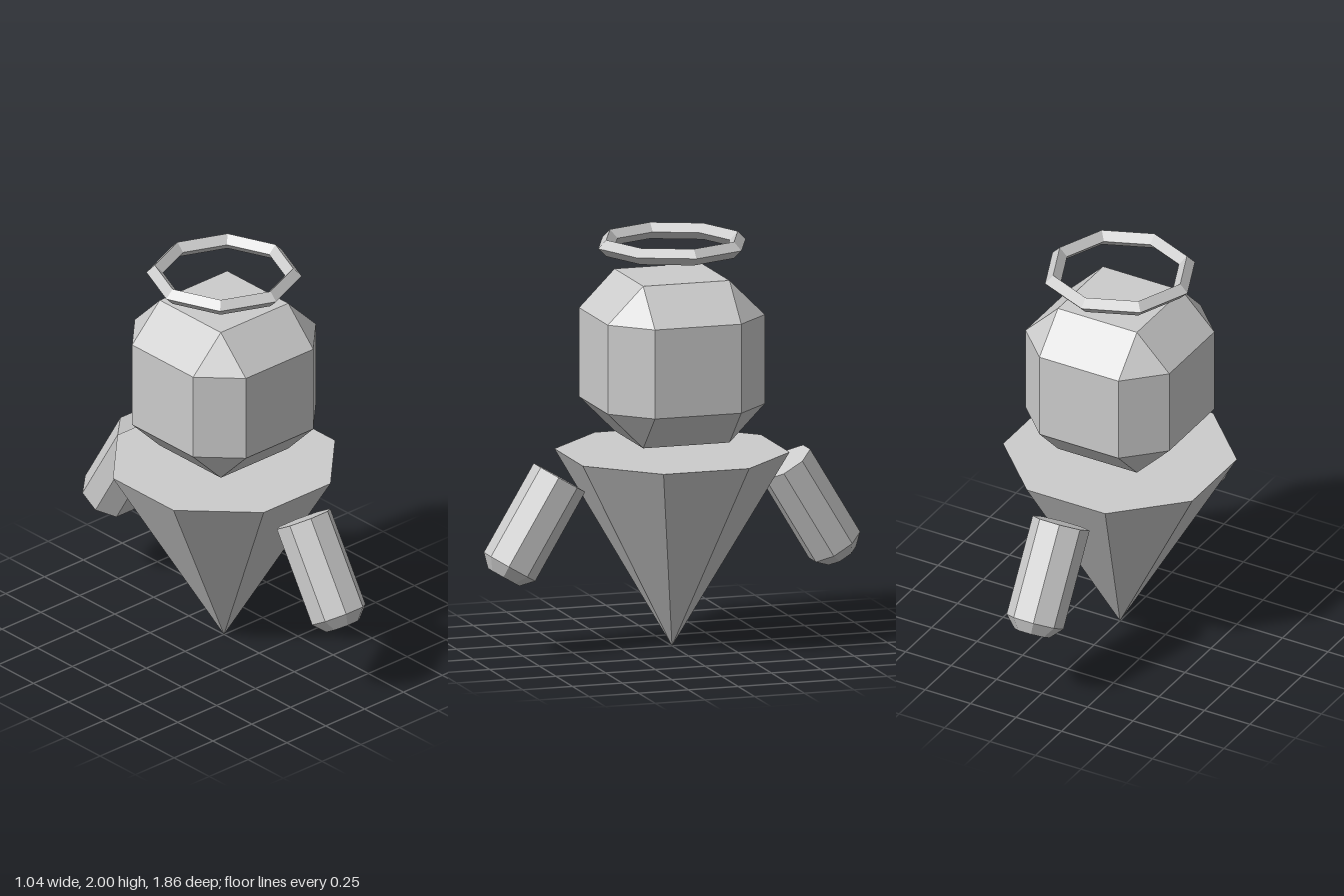
import * as THREE from 'three';
import { ConvexGeometry } from 'three/addons/geometries/ConvexGeometry.js';

const material = new THREE.MeshStandardMaterial({ color: 0xcccccc, flatShading: true });
const flat = Math.cos(Math.PI / 8); // apothem of an octagon of radius 1

function part(name, geometry, parent) {
  const mesh = new THREE.Mesh(geometry, material);
  mesh.name = name;
  parent.add(mesh);
  return mesh;
}

// Box with chamfered edges and triangular corners
function chamferedCube(half, inner) {
  const points = [];
  for (const x of [-1, 1]) for (const y of [-1, 1]) for (const z of [-1, 1]) {
    points.push(
      new THREE.Vector3(x * half, y * inner, z * inner),
      new THREE.Vector3(x * inner, y * half, z * inner),
      new THREE.Vector3(x * inner, y * inner, z * half));
  }
  return new ConvexGeometry(points);
}

// Eight-sided closed solid from [apothem, y] pairs, listed from bottom to top
function octagonalLathe(profile) {
  const points = profile.map(([r, y]) => new THREE.Vector2(r / flat, y));
  return new THREE.LatheGeometry(points, 8, Math.PI / 8);
}

export function createModel() {
  const model = new THREE.Group();
  model.name = 'floatingFigure';

  // Body: inverted octagonal cone with a flat top
  part('body', octagonalLathe([[0, 0], [0.52, 0.953], [0, 0.953]]), model);

  // Head: floating chamfered block
  part('head', chamferedCube(0.395, 0.217), model).position.y = 1.415;

  // Halo: octagonal ring with a diamond section
  const halo = part('halo', new THREE.TorusGeometry(0.331, 0.04, 4, 8), model);
  halo.rotation.x = Math.PI / 2;
  halo.position.y = 1.96;

  // Arms: detached prisms with chamfered lower ends, front and back
  const armGeometry = octagonalLathe([[0, -0.545], [0.08, -0.545], [0.13, -0.488], [0.13, 0], [0, 0]]);
  for (const [name, turn] of [['frontArm', 0], ['backArm', Math.PI]]) {
    const pivot = new THREE.Group();
    pivot.name = name + 'Pivot';
    pivot.rotation.y = turn;
    const arm = part(name, armGeometry, pivot);
    arm.position.set(0, 0.858, 0.566);
    arm.rotation.x = -0.54;
    model.add(pivot);
  }

  return model;
}
